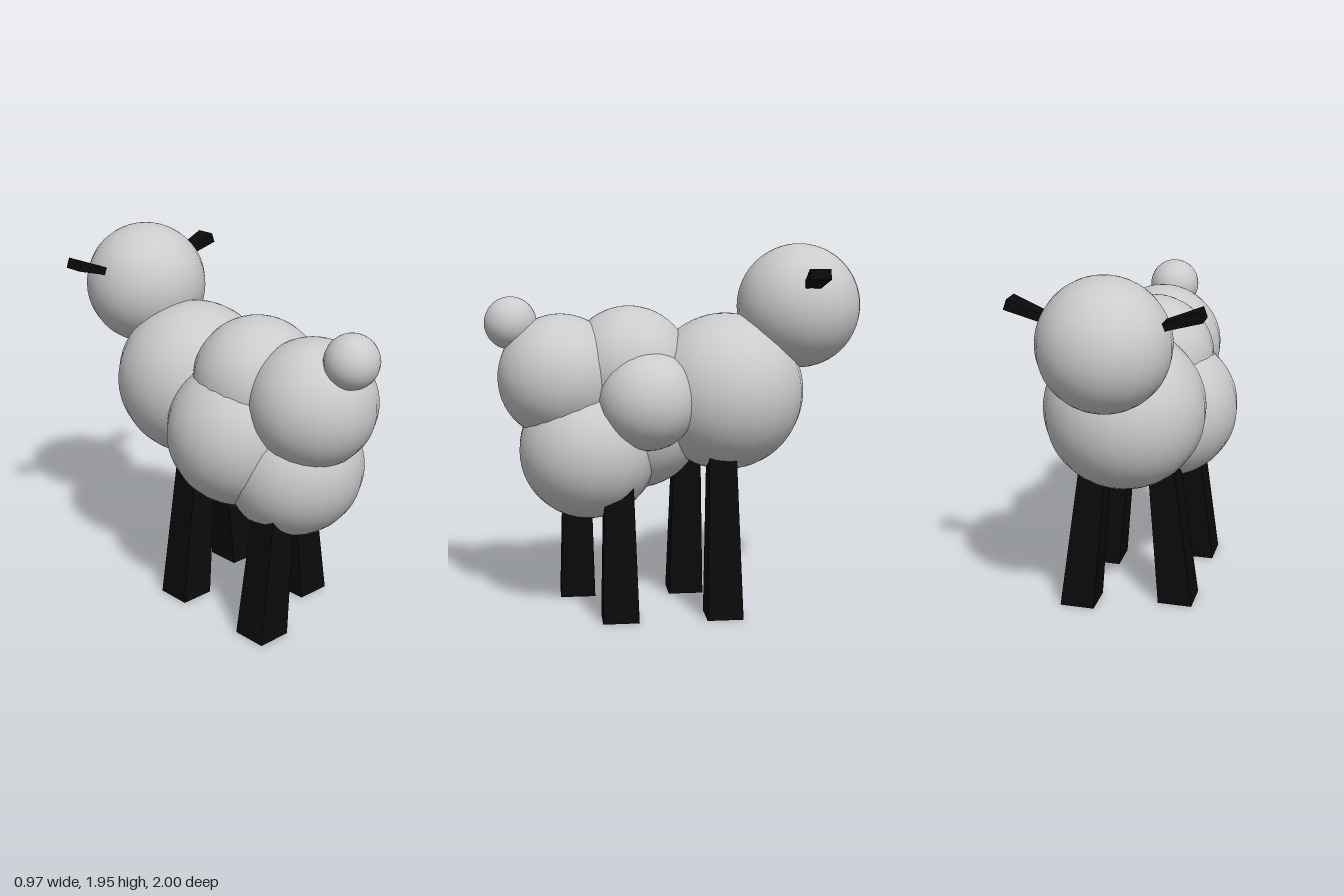
import * as THREE from 'three';

const wool = new THREE.MeshStandardMaterial({ color: 0xcccccc });
const black = new THREE.MeshStandardMaterial({ color: 0x0a0a0a, flatShading: true });

// Box standing on y = 0 whose top is scaled and shifted sideways
function taperedBox(width, depth, height, topScale, shiftX = 0) {
  const geo = new THREE.BoxGeometry(width, height, depth).translate(0, height / 2, 0);
  const pos = geo.attributes.position;
  for (let i = 0; i < pos.count; i++) {
    if (pos.getY(i) > height / 2) {
      pos.setX(i, pos.getX(i) * topScale + shiftX);
      pos.setZ(i, pos.getZ(i) * topScale);
    }
  }
  geo.computeVertexNormals();
  return geo;
}

export function createModel() {
  const model = new THREE.Group();
  model.name = 'sheep';

  function add(name, geometry, material, x, y, z) {
    const mesh = new THREE.Mesh(geometry, material);
    mesh.name = name;
    mesh.position.set(x, y, z);
    model.add(mesh);
    return mesh;
  }

  // Woolly balls: name, radius, centre
  const balls = [
    ['head', 0.33, 0.007, 1.62, -0.67],
    ['chest', 0.42, 0.01, 1.165, -0.275],
    ['back', 0.335, -0.015, 1.29, 0.24],
    ['leftFlank', 0.26, 0.215, 1.147, 0.16],
    ['rightFlank', 0.39, -0.1, 1.02, 0.21],
    ['upperRump', 0.332, 0.015, 1.255, 0.605],
    ['lowerRump', 0.37, 0.035, 0.87, 0.46],
    ['tail', 0.138, 0.005, 1.54, 0.862],
  ];
  for (const [name, r, x, y, z] of balls) {
    add(name, new THREE.SphereGeometry(r, 22, 28), wool, x, y, z);
  }

  // Legs: taper upward and lean in under the body
  const legs = [
    ['frontLeftLeg', 0.273, -0.232],
    ['frontRightLeg', -0.24, -0.083],
    ['backLeftLeg', 0.273, 0.315],
    ['backRightLeg', -0.24, 0.52],
  ];
  for (const [name, x, z] of legs) {
    const lean = -Math.sign(x) * 0.1;
    add(name, taperedBox(0.188, 0.19, 0.92, 0.73, lean), black, x, 0, z);
  }

  // Ears: flare outward from the sides of the head
  for (const [name, side] of [['leftEar', 1], ['rightEar', -1]]) {
    const ear = add(name, taperedBox(0.033, 0.066, 0.267, 1.66), black, side * 0.22, 1.715, -0.682);
    ear.rotation.z = -side * 1.235;
  }

  return model;
}
